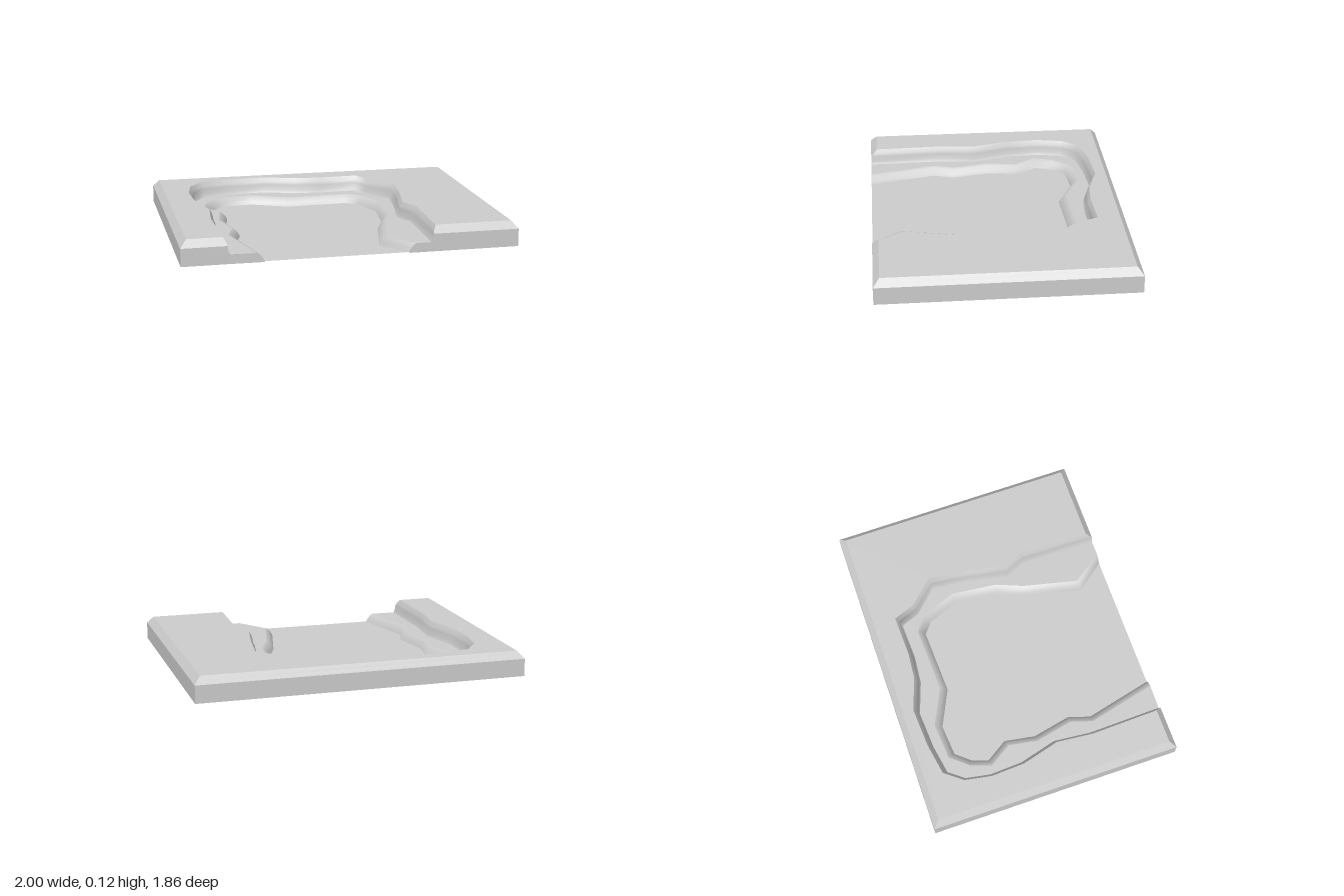
import * as THREE from 'three';

const TOP = 0.12, LEDGE = 0.045, BEVEL = 0.085;
const material = new THREE.MeshStandardMaterial({ color: 0xcccccc, side: THREE.DoubleSide });
const flatMaterial = new THREE.MeshStandardMaterial({ color: 0xcccccc, side: THREE.DoubleSide, flatShading: true });

// The tile is turned 30 degrees: U runs along its open edge, N points out of it
const U = new THREE.Vector2(0.866, -0.5), N = new THREE.Vector2(0.5, 0.866);
const vec = ([x, z]) => new THREE.Vector2(x, z);

// Plan outlines as x, z, from the left end of the open edge round to the right end
const cliffLine = [[-0.21, 0.83], [-0.4, 0.52], [-0.475, 0.355], [-0.61, 0.22], [-0.7, 0.08],
  [-0.745, -0.045], [-0.73, -0.155], [-0.61, -0.255], [-0.45, -0.36], [-0.29, -0.39],
  [-0.17, -0.445], [0, -0.55], [0.085, -0.48], [0.245, -0.43], [0.32, -0.25],
  [0.385, -0.065], [0.47, -0.005], [0.655, 0.33]].map(vec);
const poolLine = [[-0.08, 0.757], [-0.315, 0.51], [-0.34, 0.4], [-0.465, 0.26], [-0.515, 0.125],
  [-0.63, 0.065], [-0.65, -0.04], [-0.63, -0.15], [-0.485, -0.25], [-0.29, -0.265],
  [-0.02, -0.435], [0.075, -0.42], [0.215, -0.305], [0.305, -0.1], [0.325, 0.04],
  [0.405, 0.305], [0.57, 0.38]].map(vec);

// Wall profiles as [inward offset, height]
const cliffProfile = [[0, TOP], [0.012, 0.1], [0.016, BEVEL], [0.02, 0.06], [0.028, LEDGE]];
const poolProfile = [[0, LEDGE], [0.014, 0.038], [0.028, 0.02], [0.036, 0.004]];

// How far the bevelled rim is drawn in at height y
const rimInset = y => Math.max(0, (y - BEVEL) / (TOP - BEVEL) * 0.03);

// Mitred offset towards the pool; the ends slide along the open edge
function offsetLine(line, distance, y) {
  return line.map((p, i) => {
    const q = p.clone();
    if (i === 0 || i === line.length - 1) {
      return q.addScaledVector(U, i === 0 ? distance : -distance).addScaledVector(N, -rimInset(y));
    }
    const a = p.clone().sub(line[i - 1]).normalize();
    const b = line[i + 1].clone().sub(p).normalize();
    const m = new THREE.Vector2(-a.y - b.y, a.x + b.x).normalize();
    const cos = Math.max(0.6, m.dot(new THREE.Vector2(-a.y, a.x)));
    return q.addScaledVector(m, distance / cos);
  });
}

// Surface through rows of equally many points
function loft(rows, name, mat = material) {
  const n = rows[0].length, index = [];
  for (let r = 0; r < rows.length - 1; r++) {
    for (let i = 0; i < n - 1; i++) {
      const a = r * n + i, b = a + n;
      index.push(a, a + 1, b, a + 1, b + 1, b);
    }
  }
  const geometry = new THREE.BufferGeometry().setFromPoints(rows.flat());
  geometry.setIndex(index);
  geometry.computeVertexNormals();
  const mesh = new THREE.Mesh(geometry, mat);
  mesh.name = name;
  return mesh;
}

// Level surface inside a plan outline
function plate(outline, y, name) {
  const shape = new THREE.Shape(outline.map(p => new THREE.Vector2(p.x, -p.y)));
  const mesh = new THREE.Mesh(new THREE.ShapeGeometry(shape).rotateX(-Math.PI / 2), material);
  mesh.position.y = y;
  mesh.name = name;
  return mesh;
}

const raise = (line, y) => line.map(p => new THREE.Vector3(p.x, y, p.y));

export function createModel() {
  const group = new THREE.Group();
  group.name = 'terrainTile';

  const cliffRows = cliffProfile.map(([d, y]) => offsetLine(cliffLine, d, y));
  const poolRows = poolProfile.map(([d, y]) => offsetLine(poolLine, d, y));
  const first = line => line[0], last = line => line[line.length - 1];

  // Tile corners drawn in by the rim bevel, with the signs of the inward directions
  const corners = [[-0.38, 0.93, 1, -1], [-1, -0.14, 1, 1], [0.38, -0.93, -1, 1], [1, 0.13, -1, -1]];
  const rim = y => corners.map(([x, z, su, sn]) => new THREE.Vector2(x, z)
    .addScaledVector(U, su * rimInset(y)).addScaledVector(N, sn * rimInset(y)));

  // Level grounds
  group.add(plate([...rim(TOP), ...[...cliffRows[0]].reverse()], TOP, 'highGround'));
  group.add(plate([...last(cliffRows), ...[...poolRows[0]].reverse()], LEDGE, 'ledge'));
  group.add(plate(last(poolRows), last(poolProfile)[1], 'basinFloor'));

  // Banks between the levels
  group.add(loft(cliffRows.map((row, i) => raise(row, cliffProfile[i][1])), 'upperBank'));
  group.add(loft(poolRows.map((row, i) => raise(row, poolProfile[i][1])), 'lowerBank'));

  // Bevelled outer wall, open underneath
  const wallRows = cliffRows.map((row, i) => {
    const y = cliffProfile[i][1];
    return raise([last(row), ...rim(y).reverse(), first(row)], y);
  });
  wallRows.push(last(wallRows).map(p => new THREE.Vector3(p.x, 0, p.z)));
  group.add(loft(wallRows, 'outerWall', flatMaterial));

  // Small cut faces of the ledge at the open edge
  for (const [end, name] of [[first, 'leftLedgeFace'], [last, 'rightLedgeFace']]) {
    const top = [new THREE.Vector3(end(last(cliffRows)).x, LEDGE, end(last(cliffRows)).y),
      ...poolRows.map((row, i) => new THREE.Vector3(end(row).x, poolProfile[i][1], end(row).y))];
    const bottom = top.map(p => new THREE.Vector3(p.x, 0, p.z));
    group.add(loft(end === first ? [bottom, top] : [top, bottom], name, flatMaterial));
  }
  return group;
}
